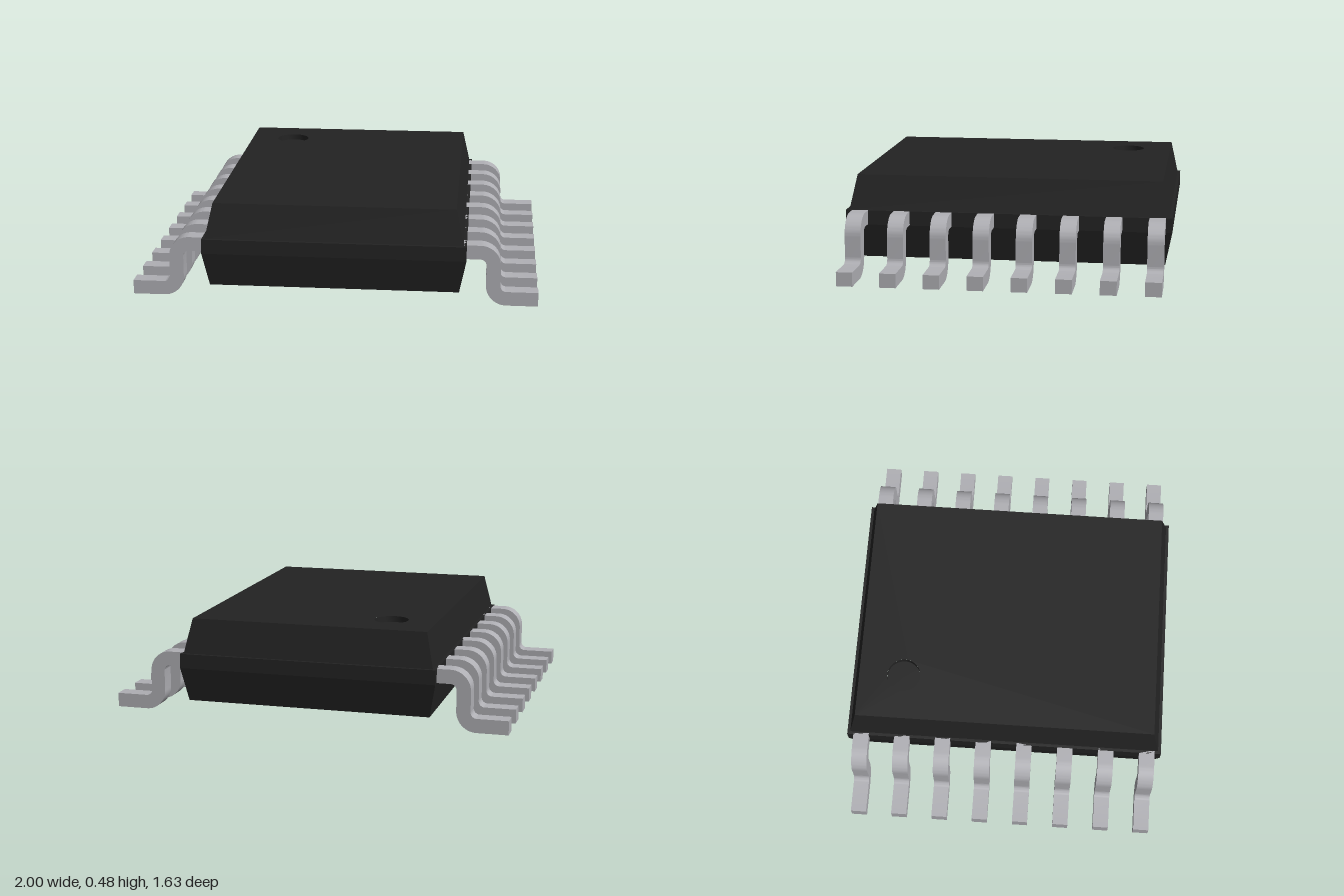
import * as THREE from 'three';
import { toCreasedNormals } from 'three/addons/utils/BufferGeometryUtils.js';

const TOP = 0.476;
const DOT = { x: -0.365, z: -0.535, r: 0.085, depth: 0.03 };

// Faceted side walls joining stacked rectangles given as [y, halfX, halfZ]
function rectLoft(rings) {
  const corners = ([y, a, b]) => [[-a, y, b], [a, y, b], [a, y, -b], [-a, y, -b]];
  const pos = [];
  for (let i = 0; i < rings.length - 1; i++) {
    const lo = corners(rings[i]), hi = corners(rings[i + 1]);
    for (let k = 0; k < 4; k++) {
      const n = (k + 1) % 4;
      for (const p of [lo[k], lo[n], hi[n], lo[k], hi[n], hi[k]]) pos.push(...p);
    }
  }
  const geo = new THREE.BufferGeometry();
  geo.setAttribute('position', new THREE.Float32BufferAttribute(pos, 3));
  geo.computeVertexNormals();
  return geo;
}

// Gull-wing lead: S-shaped strip with two rounded bends, extruded to its width
function leadGeometry(width) {
  const s = new THREE.Shape();
  const inner = 0.03, outer = 0.1;
  const shoulder = [0.715, 0.203], heel = [0.845, 0.1];
  s.moveTo(0.6, 0.303);
  s.lineTo(shoulder[0], 0.303);
  s.absarc(...shoulder, outer, Math.PI / 2, 0, true);
  s.absarc(...heel, inner, Math.PI, Math.PI * 1.5, false);
  s.lineTo(1, 0.07);
  s.lineTo(1, 0);
  s.lineTo(heel[0], 0);
  s.absarc(...heel, outer, Math.PI * 1.5, Math.PI, true);
  s.absarc(...shoulder, inner, 0, Math.PI / 2, false);
  s.lineTo(0.6, 0.233);
  s.closePath();
  const geo = new THREE.ExtrudeGeometry(s, { depth: width, bevelEnabled: false, curveSegments: 10 });
  geo.translate(0, 0, -width / 2);
  return toCreasedNormals(geo, 0.6);
}

export function createModel() {
  const group = new THREE.Group();
  const plastic = new THREE.MeshStandardMaterial({ color: 0x232323 });
  plastic.name = 'black plastic';
  const metal = new THREE.MeshStandardMaterial({ color: 0xb0b0b5 });
  metal.name = 'grey metal';

  const add = (name, geo, mat, parent = group) => {
    const mesh = new THREE.Mesh(geo, mat);
    mesh.name = name;
    parent.add(mesh);
    return mesh;
  };

  // Body walls: tapered lower half, straight band, small ledge, tapered upper half
  const body = new THREE.Group();
  body.name = 'body';
  group.add(body);
  add('bodyWalls', rectLoft([
    [0.06, 0.615, 0.783],
    [0.23, 0.648, 0.816],
    [0.303, 0.648, 0.816],
    [0.303, 0.633, 0.801],
    [TOP, 0.595, 0.765],
  ]), plastic, body);

  // Underside
  const bottom = add('bodyBottom', new THREE.PlaneGeometry(1.23, 1.566), plastic, body);
  bottom.rotation.x = Math.PI / 2;
  bottom.position.y = 0.06;

  // Top face with a round opening for the marker dimple
  const face = new THREE.Shape();
  face.moveTo(-0.595, -0.765);
  face.lineTo(0.595, -0.765);
  face.lineTo(0.595, 0.765);
  face.lineTo(-0.595, 0.765);
  face.closePath();
  face.holes.push(new THREE.Path().absarc(DOT.x, -DOT.z, DOT.r, 0, Math.PI * 2, true));
  const top = add('bodyTop', new THREE.ShapeGeometry(face, 32), plastic, body);
  top.rotation.x = -Math.PI / 2;
  top.position.y = TOP;

  // Recessed pin-one dimple: wall, then floor
  const dimpleProfile = [[DOT.r, 0], [DOT.r, -DOT.depth], [0, -DOT.depth]]
    .map(([x, y]) => new THREE.Vector2(x, y));
  const dimple = add('markerDimple',
    toCreasedNormals(new THREE.LatheGeometry(dimpleProfile, 32), 0.6), plastic, body);
  dimple.position.set(DOT.x, TOP, DOT.z);

  // Eight leads along each long side
  const lead = leadGeometry(0.08);
  for (const [side, turn] of [['left', 0], ['right', Math.PI]]) {
    const row = new THREE.Group();
    row.name = side + 'Leads';
    for (let i = 0; i < 8; i++) {
      add(side + 'Lead' + (i + 1), lead, metal, row).position.z = (i - 3.5) * 0.2125;
    }
    row.rotation.y = turn;
    group.add(row);
  }
  return group;
}
